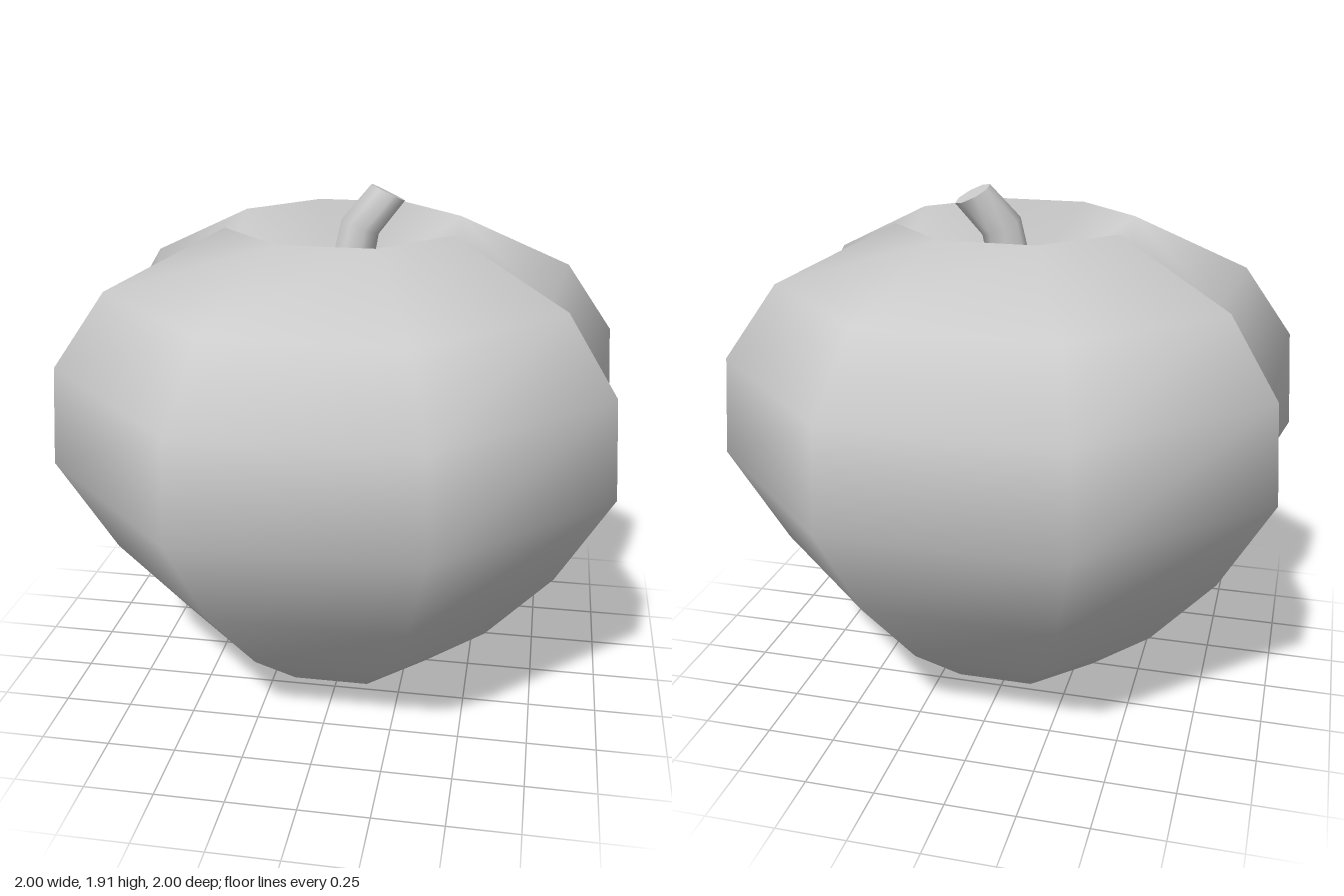
import * as THREE from 'three';
import { mergeVertices } from 'three/addons/utils/BufferGeometryUtils.js';

const material = new THREE.MeshStandardMaterial({ color: 0xcccccc, side: THREE.DoubleSide });

// Smooth skin over closed rings of points, ordered bottom to top
function loft(rings, name) {
  const n = rings[0].length;
  const index = [];
  for (let i = 0; i < rings.length - 1; i++) {
    for (let j = 0; j < n; j++) {
      const a = i * n + j, b = i * n + (j + 1) % n;
      index.push(a, a + n, b, b, a + n, b + n);
    }
  }
  let geometry = new THREE.BufferGeometry().setFromPoints(rings.flat());
  geometry.setIndex(index);
  geometry = mergeVertices(geometry, 1e-5);
  // drop the collapsed triangles at the poles
  const kept = [], ix = geometry.index.array;
  for (let i = 0; i < ix.length; i += 3) {
    const [a, b, c] = [ix[i], ix[i + 1], ix[i + 2]];
    if (a !== b && b !== c && a !== c) kept.push(a, b, c);
  }
  geometry.setIndex(kept);
  geometry.computeVertexNormals();
  const mesh = new THREE.Mesh(geometry, material);
  mesh.name = name;
  return mesh;
}

// Fruit: octagonal rings with a groove pressed into both sides
function makeFruit() {
  const profile = [[0, 0], [0.335, 0.08], [0.57, 0.285], [0.81, 0.59], [1, 0.95],
    [0.975, 1.31], [0.8, 1.575], [0.4, 1.78], [0, 1.5]];
  const k = Math.tan(Math.PI / 8), depth = 0.11;
  const rings = profile.map(([r, y], i) => {
    let gx = r, gy = y;
    if (r > 0) {
      const [r0, y0] = profile[i - 1], [r1, y1] = profile[i + 1];
      const len = Math.hypot(r1 - r0, y1 - y0);
      gx -= depth * (y1 - y0) / len;
      gy += depth * (r1 - r0) / len;
    }
    const half = [[gx, gy, 0], [r, y, k * r], [k * r, y, r], [-k * r, y, r], [-r, y, k * r]];
    return [...half, ...half.map(([x, h, z]) => [-x, h, -z])]
      .map((p) => new THREE.Vector3(...p));
  });
  return loft(rings, 'fruit');
}

// Stem: eight-sided bent stalk with a flat cut end
function makeStem() {
  const stations = [
    { at: [0, 1.5, 0], dir: [0.15, 1, -0.06], r: 0.08 },
    { at: [0.05, 1.76, -0.025], dir: [0.4, 1, -0.17], r: 0.075 },
    { at: [0.145, 1.877, -0.063], dir: [0.42, 0.9, -0.18], r: 0.07 },
  ];
  const up = new THREE.Vector3(0, 1, 0);
  const rings = stations.map(({ at, dir, r }) => {
    const turn = new THREE.Quaternion().setFromUnitVectors(up, new THREE.Vector3(...dir).normalize());
    return Array.from({ length: 8 }, (_, j) => {
      const a = (j + 0.5) * Math.PI / 4;
      return new THREE.Vector3(r * Math.cos(a), 0, r * Math.sin(a))
        .applyQuaternion(turn).add(new THREE.Vector3(...at));
    });
  });
  const rim = rings[rings.length - 1];
  const tip = new THREE.Vector3(...stations[stations.length - 1].at);
  const stem = new THREE.Group();
  stem.name = 'stem';
  stem.add(loft(rings, 'stalk'), loft([rim, rim.map(() => tip)], 'stalkEnd'));
  return stem;
}

export function createModel() {
  const apple = new THREE.Group();
  apple.name = 'apple';
  apple.add(makeFruit(), makeStem());
  return apple;
}
